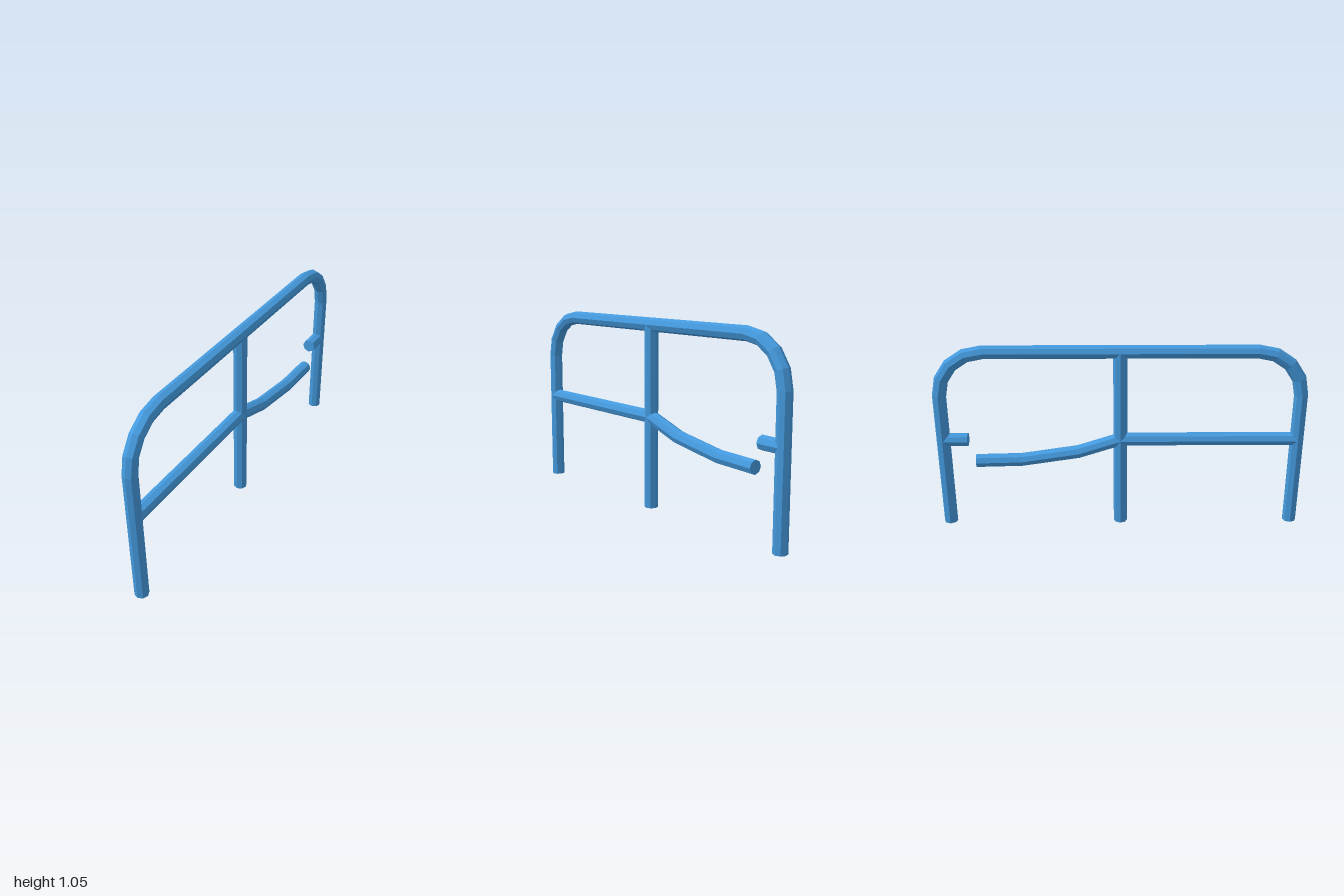
import * as THREE from 'three';

const SIDES = 8;
const RADIUS = 0.0375;

// Capped eight-sided pipe with mitred bends; the path is a list of [z, y] points in the x = 0 plane.
function pipeGeometry(path) {
  const pts = path.map(([z, y]) => new THREE.Vector2(z, y));
  const dirs = pts.slice(1).map((p, i) => p.clone().sub(pts[i]).normalize());
  const rings = pts.map((p, i) => {
    const before = dirs[Math.max(i - 1, 0)];
    const after = dirs[Math.min(i, dirs.length - 1)];
    const t = before.clone().add(after).normalize();
    const stretch = RADIUS / t.dot(after);
    return Array.from({ length: SIDES }, (_, k) => {
      const a = (k / SIDES) * Math.PI * 2;
      const s = Math.sin(a) * stretch;
      return [Math.cos(a) * RADIUS, p.y + s * t.x, p.x - s * t.y];
    });
  });
  const pos = [];
  const tri = (a, b, c) => pos.push(...a, ...b, ...c);
  const last = rings.length - 1;
  for (let k = 0; k < SIDES; k++) {
    const n = (k + 1) % SIDES;
    for (let i = 0; i < last; i++) {
      tri(rings[i][k], rings[i][n], rings[i + 1][n]);
      tri(rings[i][k], rings[i + 1][n], rings[i + 1][k]);
    }
    tri([0, pts[0].y, pts[0].x], rings[0][n], rings[0][k]);
    tri([0, pts[last].y, pts[last].x], rings[last][k], rings[last][n]);
  }
  const g = new THREE.BufferGeometry();
  g.setAttribute('position', new THREE.Float32BufferAttribute(pos, 3));
  g.computeVertexNormals();
  return g;
}

export function createModel() {
  const group = new THREE.Group();
  group.name = 'brokenRailing';
  const blue = new THREE.MeshStandardMaterial({ color: 0x4499dd, flatShading: true });
  blue.name = 'bluePaint';

  const add = (name, path) => {
    const mesh = new THREE.Mesh(pipeGeometry(path), blue);
    mesh.name = name;
    group.add(mesh);
  };

  // Outer hoop: two legs, two rounded corners and the handrail
  const legZ = 0.9625, topY = 1.0085, bend = 0.2435, bendSteps = 4;
  const half = [[legZ, 0]];
  for (let i = 0; i <= bendSteps; i++) {
    const a = (i / bendSteps) * Math.PI / 2;
    half.push([legZ - bend + Math.cos(a) * bend, topY - bend + Math.sin(a) * bend]);
  }
  add('outerHoop', [...half, ...half.map(([z, y]) => [-z, y]).reverse()]);

  // Centre post
  add('centrePost', [[0, 0], [0, topY]]);

  // Middle rail: whole at the front, snapped and sagging at the back
  const railY = 0.508;
  add('middleRail', [[legZ, railY], [0, railY]]);
  add('bentRail', [[0, railY], [-0.23, 0.433], [-0.54, 0.386], [-0.79, 0.38]]);
  add('railStub', [[-0.828, railY], [-legZ, railY]]);

  return group;
}
